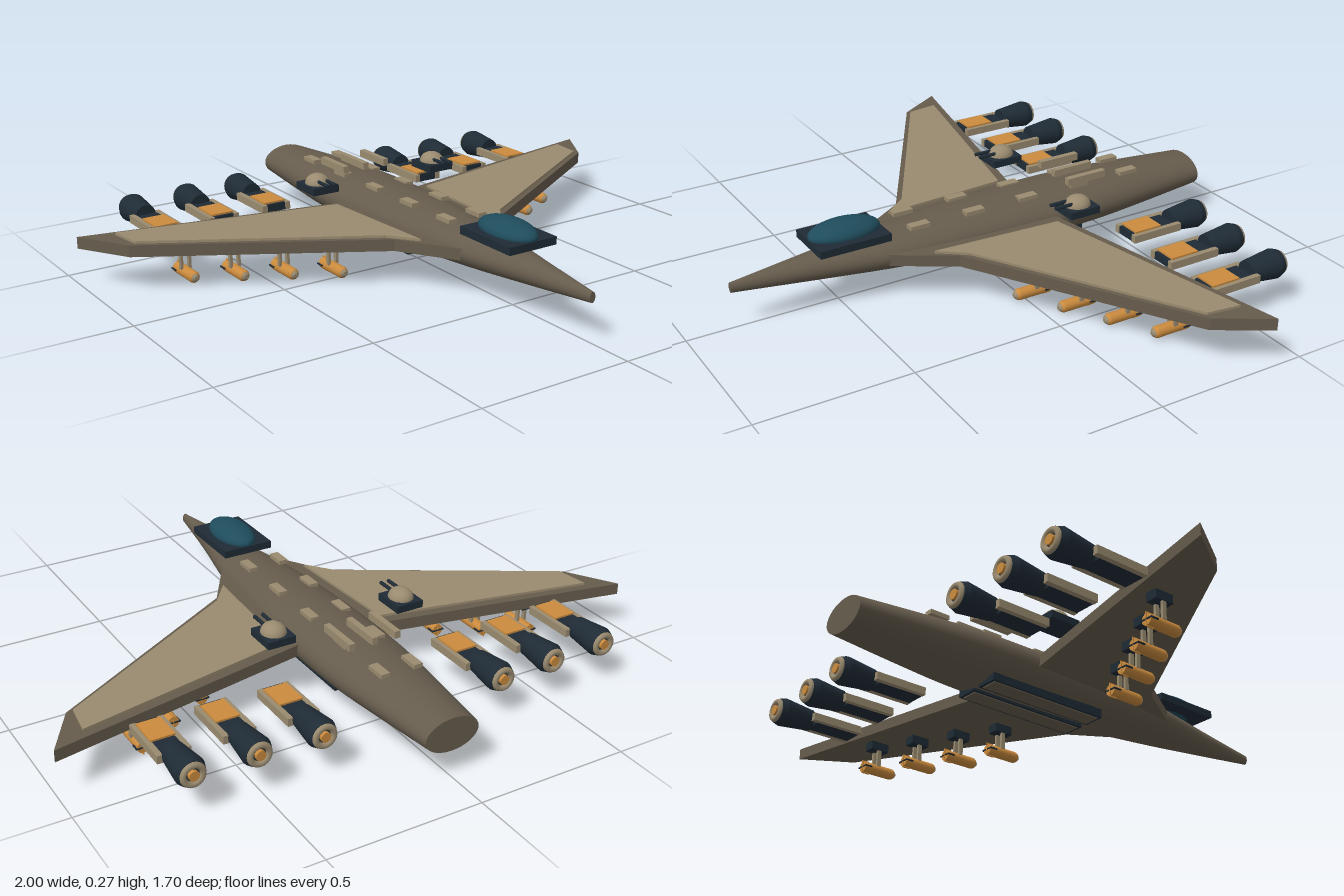
import * as THREE from 'three';

const mat = (name, hex) => {
  const m = new THREE.MeshStandardMaterial({ color: hex });
  m.name = name;
  return m;
};

export function createModel() {
  const hull = mat('hullBrown', 0x665c4d);
  const tan = mat('panelTan', 0x9a8b70);
  const dark = mat('darkSteel', 0x1f2b35);
  const glass = mat('canopyGlass', 0x1f4c5c);
  const orange = mat('orange', 0xcb8b3e);

  const root = new THREE.Group();
  root.name = 'aircraft';

  const add = (parent, name, geo, material, x = 0, y = 0, z = 0) => {
    const m = new THREE.Mesh(geo, material);
    m.name = name;
    m.position.set(x, y, z);
    parent.add(m);
    return m;
  };
  const group = (name, x, y, z) => {
    const g = new THREE.Group();
    g.name = name;
    g.position.set(x, y, z);
    root.add(g);
    return g;
  };
  const box = (w, h, d) => new THREE.BoxGeometry(w, h, d);
  // cylinder along z, first radius at the front
  const rod = (rFront, rBack, len, sides = 16) =>
    new THREE.CylinderGeometry(rFront, rBack, len, sides).rotateX(Math.PI / 2);
  // flat plate from an outline in x and z, hanging down from y = 0
  const plate = (points, side, thick) => {
    const shape = new THREE.Shape(points.map(([x, z]) => new THREE.Vector2(x * side, z)));
    return new THREE.ExtrudeGeometry(shape, { depth: thick, bevelEnabled: false }).rotateX(Math.PI / 2);
  };

  // Fuselage: elliptical sections [z, half width, half height]
  const stations = [
    [0.85, 0.01, 0.017], [0.6, 0.05, 0.042], [0.35, 0.1, 0.06], [0.1, 0.128, 0.074],
    [-0.2, 0.14, 0.08], [-0.42, 0.136, 0.078], [-0.6, 0.118, 0.07], [-0.85, 0.09, 0.054],
  ];
  const spine = new THREE.CatmullRomCurve3(stations.map((s) => new THREE.Vector3(...s)));
  const rows = 28;
  const body = new THREE.CylinderGeometry(1, 1, 1, 32, rows).rotateX(Math.PI / 2);
  const pos = body.attributes.position;
  for (let i = 0; i < pos.count; i++) {
    const s = spine.getPoint(Math.min(1, Math.max(0, 0.5 - pos.getZ(i))));
    pos.setXYZ(i, pos.getX(i) * s.y, pos.getY(i) * s.z, s.x);
  }
  body.computeVertexNormals();
  add(root, 'fuselage', body, hull, 0, 0.138, 0);

  // Canopy
  add(root, 'canopyBase', box(0.176, 0.025, 0.24), dark, 0, 0.213, 0.47);
  add(root, 'canopy', new THREE.SphereGeometry(1, 32, 20).scale(0.065, 0.038, 0.12), glass, 0, 0.23, 0.47);

  // Dorsal bars
  for (const x of [-0.08, 0, 0.08]) {
    add(root, 'dorsalBar', box(0.02, 0.024, 0.147), tan, x, 0.241, -0.375);
  }

  const wing = [[0.04, 0.365], [0.095, 0.365], [0.21, 0.18], [0.9, -0.235], [1, -0.4], [0.13, -0.225], [0.04, -0.21]];
  const panel = [[0.155, 0.24], [0.225, 0.15], [0.88, -0.24], [0.895, -0.35], [0.18, -0.2]];

  for (const s of [1, -1]) {
    // Wing with raised upper panel
    add(root, 'wing', plate(wing, s, 0.038), hull, 0, 0.158, 0);
    add(root, 'wingPanel', plate(panel, s, 0.009), tan, 0, 0.166, 0);

    // Rows of small hull plates
    for (let i = 0; i < 5; i++) {
      add(root, 'hullPlate', box(0.03, 0.014, 0.068), tan, s * 0.057, 0.212, 0.24 - i * 0.2);
    }

    // Belly bay
    add(root, 'bellyBay', box(0.075, 0.03, 0.44), dark, s * 0.05, 0.066, -0.145);
    add(root, 'bellyBayDoor', box(0.058, 0.004, 0.42), hull, s * 0.05, 0.05, -0.145);

    // Turret
    const turret = group('turret', s * 0.23, 0.225, -0.24);
    add(turret, 'turretBase', box(0.095, 0.024, 0.11), dark);
    add(turret, 'turretDome',
      new THREE.SphereGeometry(1, 20, 10, 0, Math.PI * 2, 0, Math.PI / 2).scale(0.04, 0.034, 0.044),
      tan, 0, 0.011, 0);
    for (const x of [-0.014, 0.014]) add(turret, 'gunBarrel', rod(0.006, 0.006, 0.075, 8), dark, x, 0.025, 0.056);

    // Engines
    for (const [x, z] of [[0.31, -0.015], [0.51, -0.004], [0.71, 0]]) {
      const e = group('engine', s * x, 0.135, z);
      add(e, 'engineDuct', box(0.07, 0.026, 0.16), dark, 0, -0.004, -0.443);
      add(e, 'enginePanel', box(0.076, 0.008, 0.1), orange, 0, 0.011, -0.424);
      for (const k of [-1, 1]) add(e, 'engineRail', box(0.018, 0.026, 0.185), tan, k * 0.043, -0.004, -0.453);
      add(e, 'nozzle', rod(0.036, 0.048, 0.105, 20), dark, 0, 0, -0.586);
      add(e, 'nozzleLip', rod(0.048, 0.041, 0.02, 20), dark, 0, 0, -0.6485);
      add(e, 'nozzleRing', new THREE.TorusGeometry(0.03, 0.01, 8, 20), tan, 0, 0, -0.66);
      add(e, 'nozzleCore', rod(0.016, 0.016, 0.016, 14), orange, 0, 0, -0.662);
    }

    // Missiles on pylons, stepped back along the sweep
    for (let i = 0; i < 4; i++) {
      const m = group('missile', s * (0.305 + i * 0.1335), 0.023, -0.033 - i * 0.0767);
      add(m, 'pylon', box(0.04, 0.03, 0.066), dark, 0, 0.083, 0);
      for (const k of [-1, 1]) add(m, 'pylonStrut', box(0.009, 0.062, 0.014), tan, k * 0.014, 0.042, 0);
      add(m, 'missileBody', rod(0.019, 0.019, 0.112, 14), orange, 0, 0, 0.003);
      add(m, 'missileNose', new THREE.SphereGeometry(0.019, 14, 10), orange, 0, 0, 0.056);
      add(m, 'missileTip', rod(0.007, 0.014, 0.007, 12), tan, 0, 0, 0.073);
      add(m, 'tailFin', box(0.046, 0.004, 0.028), dark, 0, 0, -0.042);
      add(m, 'tailFin', box(0.004, 0.046, 0.028), orange, 0, 0, -0.042);
    }
  }
  return root;
}
